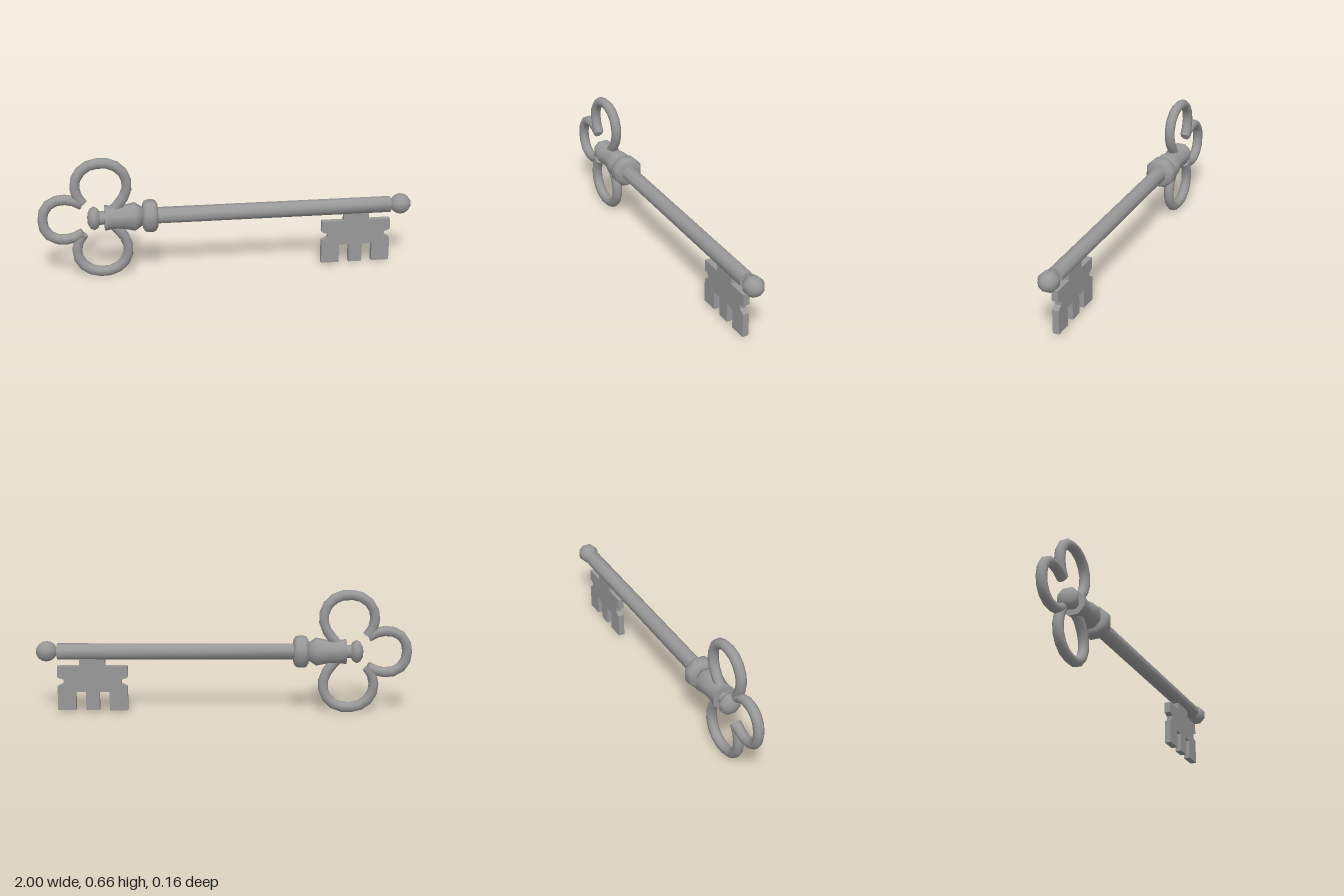
import * as THREE from 'three';
import { toCreasedNormals } from 'three/addons/utils/BufferGeometryUtils.js';

const AXIS_Y = 0.33;
const SIDES = 8;
const FLAT = Math.cos(Math.PI / SIDES); // flat-to-corner ratio of an octagon

export function createModel() {
  const group = new THREE.Group();
  const material = new THREE.MeshStandardMaterial({ color: 0x999999 });

  const add = (name, geometry, crease) => {
    const mesh = new THREE.Mesh(toCreasedNormals(geometry, crease), material);
    mesh.name = name;
    group.add(mesh);
  };

  // Eight-sided turned part along x; profile is [x, flat radius] from left to right
  const turned = (name, profile) => {
    const points = profile.map(([x, r]) => new THREE.Vector2(r / FLAT, x));
    const geometry = new THREE.LatheGeometry(points, SIDES, Math.PI / SIDES);
    geometry.rotateZ(-Math.PI / 2);
    geometry.translate(0, AXIS_Y, 0);
    add(name, geometry, 1.2);
  };

  // Shaft and its turned ornaments
  turned('shaft', [[-0.4, 0], [-0.4, 0.04], [0.885, 0.04], [0.885, 0]]);
  turned('collar', [[-0.45, 0], [-0.45, 0.058], [-0.44, 0.074], [-0.425, 0.08],
    [-0.395, 0.08], [-0.38, 0.074], [-0.37, 0.058], [-0.37, 0]]);
  turned('neck', [[-0.65, 0], [-0.65, 0.063], [-0.61, 0.057], [-0.56, 0.057],
    [-0.49, 0.07], [-0.45, 0.045], [-0.45, 0]]);
  turned('knobStem', [[-0.69, 0], [-0.69, 0.033], [-0.64, 0.033], [-0.64, 0]]);
  turned('knob', [[-0.74, 0], [-0.738, 0.025], [-0.725, 0.048], [-0.705, 0.058],
    [-0.685, 0.048], [-0.672, 0.028], [-0.67, 0]]);

  // Ball tip
  const ball = [];
  for (let i = 0; i <= 8; i++) {
    const a = (i / 8) * Math.PI;
    ball.push([0.942 - 0.057 * Math.cos(a), 0.051 * Math.sin(a)]);
  }
  turned('tipBall', ball);

  // Bow: three loops of octagonal rod; heights are relative to the shaft axis
  const section = new THREE.Shape();
  for (let i = 0; i < SIDES; i++) {
    const a = ((i + 0.5) / SIDES) * Math.PI * 2;
    const r = 0.0255 / FLAT;
    section[i ? 'lineTo' : 'moveTo'](r * Math.cos(a), r * Math.sin(a));
  }
  section.closePath();

  const loop = (name, points, steps) => {
    const path = new THREE.CatmullRomCurve3(
      points.map(([x, y]) => new THREE.Vector3(x, AXIS_Y + y, 0)));
    add(name, new THREE.ExtrudeGeometry(section, { extrudePath: path, steps, curveSegments: 1 }), 0.9);
  };

  const sideLoop = [[-0.762, 0.085], [-0.79, 0.13], [-0.798, 0.205], [-0.766, 0.265],
    [-0.716, 0.298], [-0.663, 0.305], [-0.61, 0.298], [-0.56, 0.265],
    [-0.531, 0.21], [-0.534, 0.14], [-0.566, 0.085], [-0.61, 0.035]];
  loop('upperBowLoop', sideLoop, 14);
  loop('lowerBowLoop', sideLoop.map(([x, y]) => [x, -y]), 14);

  const halfEnd = [[-0.765, 0.08], [-0.815, 0.105], [-0.87, 0.112], [-0.925, 0.097], [-0.962, 0.055]];
  const mirrored = halfEnd.map(([x, y]) => [x, -y]).reverse();
  loop('endBowLoop', [...halfEnd, [-0.973, 0], ...mirrored], 12);

  // Bit: notched plate hanging under the shaft, outline mirrored about its middle
  const middle = 0.7;
  const half = [[0.068, 0.31], [0.068, 0.25], [0.187, 0.25], [0.187, 0.19], [0.155, 0.178],
    [0.155, 0.155], [0.187, 0.14], [0.187, 0.01], [0.09, 0.01], [0.09, 0.112],
    [0.036, 0.112], [0.036, 0.01]];
  const outline = [
    ...half.map(([x, y]) => new THREE.Vector2(middle + x, y)),
    ...half.map(([x, y]) => new THREE.Vector2(middle - x, y)).reverse(),
  ];
  const plate = new THREE.ExtrudeGeometry(new THREE.Shape(outline), { depth: 0.034, bevelEnabled: false });
  plate.translate(0, 0, -0.017);
  add('bit', plate, 0.3);

  return group;
}
